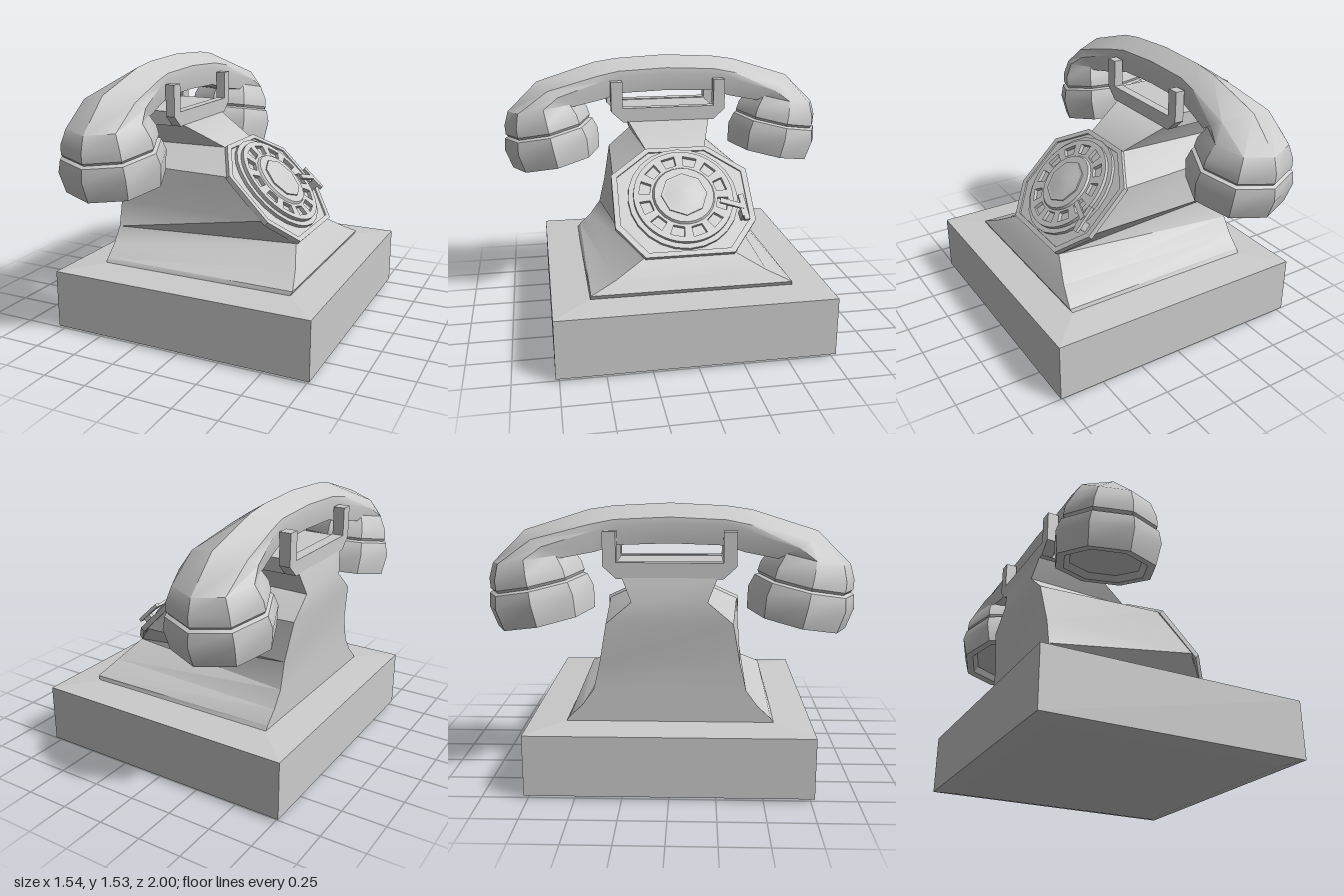
import * as THREE from 'three';
import { toCreasedNormals } from 'three/addons/utils/BufferGeometryUtils.js';

const grey = new THREE.MeshStandardMaterial({ color: 0xcccccc });

function add(parent, name, geometry) {
  const mesh = new THREE.Mesh(geometry, grey);
  mesh.name = name;
  parent.add(mesh);
  return mesh;
}

// Skin over closed rings of equal point count, capped at both ends
function loft(rings, crease) {
  const n = rings[0].length, pos = [], idx = [];
  rings.forEach(r => r.forEach(p => pos.push(p.x, p.y, p.z)));
  for (let i = 0; i < rings.length - 1; i++) {
    for (let j = 0; j < n; j++) {
      const a = i * n + j, b = i * n + (j + 1) % n;
      idx.push(a, b, b + n, a, b + n, a + n);
    }
  }
  [0, rings.length - 1].forEach(i => {
    const c = rings[i].reduce((s, p) => s.add(p), new THREE.Vector3()).divideScalar(n);
    const k = pos.length / 3;
    pos.push(c.x, c.y, c.z);
    for (let j = 0; j < n; j++) {
      const a = i * n + j, b = i * n + (j + 1) % n;
      if (i === 0) idx.push(k, b, a); else idx.push(k, a, b);
    }
  });
  const g = new THREE.BufferGeometry();
  g.setAttribute('position', new THREE.Float32BufferAttribute(pos, 3));
  g.setIndex(idx);
  return toCreasedNormals(g, crease);
}

// Trapezoid ring at height y: back x and half width, front x and half width
const slab = ([y, xb, wb, xf, wf]) => [[xf, wf], [xf, -wf], [xb, -wb], [xb, wb]]
  .map(([x, z]) => new THREE.Vector3(x, y, z));

// Handset: octagonal rings running from one cup over the grip to the other
function handsetGeometry() {
  const half = [];
  // Cup profile: height along the tilted axis, radius
  const cup = [[0.03, 0.2], [0, 0.23], [0, 0.275], [0.12, 0.295], [0.19, 0.275], [0.2, 0.255],
    [0.215, 0.265], [0.27, 0.258], [0.35, 0.217]];
  for (const [h, r] of cup) {
    const z = 0.685 + 0.2 * h, y = 0.912 + 0.98 * h;
    half.push({ o: [z + 0.98 * r, y - 0.2 * r], i: [z - 0.98 * r, y + 0.2 * r], w: r, flat: 0 });
  }
  // Grip: outer ridge point, inner point, half width
  half.push({ o: [0.785, 1.39], i: [0.55, 1.25], w: 0.185, flat: 0.6 });
  half.push({ o: [0.435, 1.5], i: [0.4, 1.285], w: 0.125, flat: 1 });
  half.push({ o: [0.3, 1.52], i: [0.28, 1.32], w: 0.11, flat: 1 });
  const mirrored = half.map(s => ({ ...s, o: [-s.o[0], s.o[1]], i: [-s.i[0], s.i[1]] })).reverse();
  const all = [...half, { o: [0, 1.535], i: [0, 1.33], w: 0.11, flat: 1 }, ...mirrored];
  return loft(all.map(({ o, i, w, flat }) => {
    const ring = [];
    for (let k = 0; k < 8; k++) {
      const a = k * Math.PI / 4;
      let c = Math.cos(a), s = Math.sin(a);
      if (k === 3 || k === 5) {
        c += (-1 - c) * flat;
        s += Math.sign(s) * 0.15 * flat;
      }
      if (k === 1 || k === 7) {
        c += (0.35 - c) * flat;
        s += Math.sign(s) * 0.25 * flat;
      }
      const t = (1 + c) / 2;
      ring.push(new THREE.Vector3(-0.39 + s * w, i[1] + (o[1] - i[1]) * t, i[0] + (o[0] - i[0]) * t));
    }
    return ring;
  }), 0.55);
}

// U-shaped cradle fork across z, at the given back x
function forkGeometry(x, depth) {
  const p = [[0.35, 1.4], [0.35, 1.22], [0.28, 1.155], [-0.28, 1.155], [-0.35, 1.22], [-0.35, 1.4],
    [-0.28, 1.4], [-0.28, 1.24], [0.28, 1.24], [0.28, 1.4]];
  const shape = new THREE.Shape(p.map(([a, b]) => new THREE.Vector2(a, b)));
  return new THREE.ExtrudeGeometry(shape, { depth, bevelEnabled: false })
    .rotateY(Math.PI / 2).translate(x, 0, 0);
}

// Dial, built facing local +z and then leaned onto the slope
function createDial() {
  const dial = new THREE.Group();
  dial.name = 'dial';
  const disc = (name, r, z0, z1, sides, rTop = r) => add(dial, name,
    toCreasedNormals(new THREE.CylinderGeometry(rTop, r, z1 - z0, sides)
      .rotateX(Math.PI / 2).translate(0, 0, (z0 + z1) / 2), 0.5));

  // Octagonal plate with a raised border
  const corners = k => [[0.18, 0.335], [-0.18, 0.335], [-0.395, 0.17], [-0.4, -0.16],
    [-0.25, -0.35], [0.25, -0.35], [0.4, -0.16], [0.395, 0.17]]
    .map(([x, y]) => new THREE.Vector2(x * k, y * k));
  add(dial, 'dialPlate', new THREE.ExtrudeGeometry(new THREE.Shape(corners(0.96)),
    { depth: 0.025, bevelEnabled: false }).translate(0, 0, -0.02));
  const border = new THREE.Shape(corners(1));
  border.holes.push(new THREE.Path(corners(0.92)));
  add(dial, 'dialPlateBorder', new THREE.ExtrudeGeometry(border,
    { depth: 0.03, bevelEnabled: false }).translate(0, 0, -0.015));

  disc('dialBase', 0.315, 0, 0.025, 24);

  // Finger wheel with twelve openings
  const wheel = new THREE.Shape();
  wheel.absarc(0, 0, 0.285, 0, Math.PI * 2);
  for (let k = 0; k < 12; k++) {
    const a = (k + 0.5) * Math.PI / 6;
    const pts = [[0.195, -0.16], [0.255, -0.16], [0.255, 0.16], [0.195, 0.16]];
    wheel.holes.push(new THREE.Path(pts.map(([r, d]) =>
      new THREE.Vector2(r * Math.cos(a + d), r * Math.sin(a + d)))));
  }
  add(dial, 'fingerWheel', new THREE.ExtrudeGeometry(wheel,
    { depth: 0.022, bevelEnabled: false, curveSegments: 24 }).translate(0, 0, 0.025));

  disc('dialHub', 0.18, 0.045, 0.06, 24, 0.17);
  disc('dialCentre', 0.132, 0.06, 0.068, 8);
  disc('dialCentreDome', 0.115, 0.068, 0.078, 8, 0.03);

  // Finger stop: foot outside the wheel and a hook over it
  const stop = (name, w, h, d, x, y, z, turn) => {
    const m = add(dial, name, new THREE.BoxGeometry(w, h, d));
    m.position.set(x, y, z);
    m.rotation.z = turn;
  };
  stop('fingerStopFoot', 0.03, 0.16, 0.02, 0.33, -0.1, 0.06, 0.1);
  stop('fingerStopPost', 0.03, 0.05, 0.07, 0.325, -0.13, 0.035, 0.1);
  stop('fingerStopHook', 0.14, 0.03, 0.015, 0.265, -0.075, 0.065, -0.35);

  const s = Math.SQRT1_2;
  dial.applyMatrix4(new THREE.Matrix4().makeBasis(new THREE.Vector3(0, 0, -1),
    new THREE.Vector3(-s, s, 0), new THREE.Vector3(s, s, 0)).setPosition(0.255, 0.8, 0));
  return dial;
}

export function createModel() {
  const phone = new THREE.Group();
  phone.name = 'telephone';

  // Plinth with slightly sloped top and bottom
  add(phone, 'plinth', loft([
    [0, -0.68, 0.68, 0.68, 0.68], [0.02, -0.77, 0.77, 0.77, 0.77],
    [0.355, -0.77, 0.77, 0.77, 0.77], [0.372, -0.57, 0.57, 0.58, 0.57],
  ].map(slab), 0.05));

  // Body: flared skirt, sloped face, shoulders and neck
  add(phone, 'body', loft([
    [0.365, -0.57, 0.565, 0.575, 0.565], [0.395, -0.57, 0.545, 0.59, 0.56],
    [0.46, -0.57, 0.475, 0.55, 0.42], [0.55, -0.57, 0.41, 0.49, 0.26],
    [0.7, -0.57, 0.375, 0.345, 0.395], [0.92, -0.6, 0.335, 0.125, 0.385],
    [1.035, -0.6, 0.2, 0.01, 0.175], [1.16, -0.575, 0.25, -0.22, 0.25],
  ].map(slab), 0.5));

  phone.add(createDial());

  // Cradle: platform between two forks
  add(phone, 'cradlePlatform', new THREE.BoxGeometry(0.3, 0.08, 0.56).translate(-0.395, 1.195, 0));
  add(phone, 'cradleForkBack', forkGeometry(-0.575, 0.065));
  add(phone, 'cradleForkFront', forkGeometry(-0.27, 0.055));

  add(phone, 'handset', handsetGeometry());
  return phone;
}
